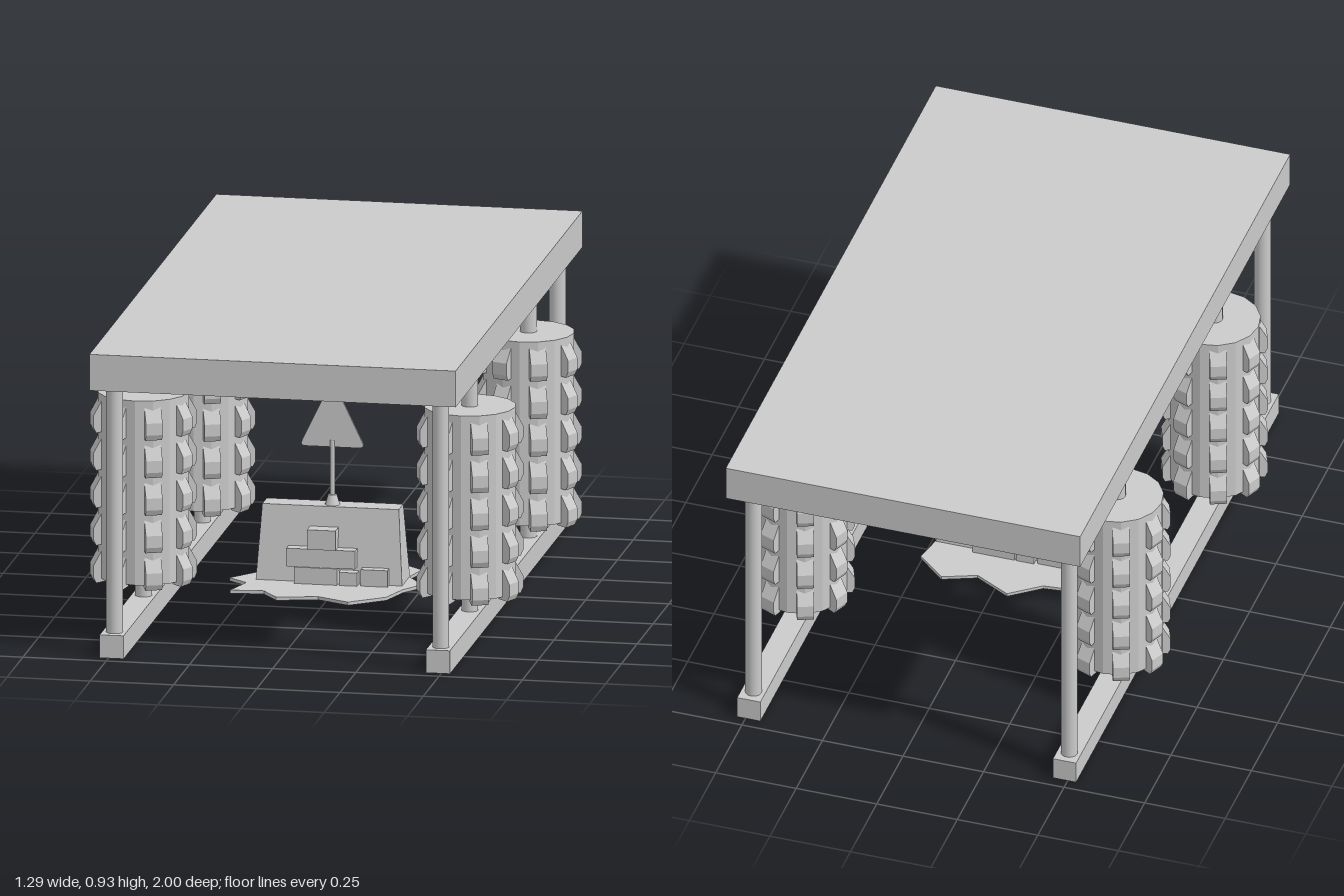
import * as THREE from 'three';
import { mergeGeometries } from 'three/addons/utils/BufferGeometryUtils.js';

const grey = new THREE.MeshStandardMaterial({ color: 0xcccccc });
const flat = new THREE.MeshStandardMaterial({ color: 0xcccccc, flatShading: true });

function add(parent, name, geometry, x, y, z, material = flat) {
  const mesh = new THREE.Mesh(geometry, material);
  mesh.name = name;
  mesh.position.set(x, y, z);
  parent.add(mesh);
  return mesh;
}

// Box given by its lower and upper limits
function block(parent, name, x0, x1, y0, y1, z0, z1) {
  return add(parent, name, new THREE.BoxGeometry(x1 - x0, y1 - y0, z1 - z0),
    (x0 + x1) / 2, (y0 + y1) / 2, (z0 + z1) / 2);
}

// Flat outline of given thickness, centred on its plane
function slab(points, depth) {
  const shape = new THREE.Shape(points.map(([x, y]) => new THREE.Vector2(x, y)));
  return new THREE.ExtrudeGeometry(shape, { depth, bevelEnabled: false }).translate(0, 0, -depth / 2);
}

// Five rings of eight hooked bristles
function bristleGeometry() {
  const fins = [];
  for (let row = 0; row < 5; row++) {
    for (let i = 0; i < 8; i++) {
      const fin = slab([[0.118, 0.0], [0.148, -0.005], [0.156, 0.012], [0.156, 0.048], [0.13, 0.095], [0.118, 0.095]], 0.05);
      fin.translate(0, 0.125 + row * 0.114, 0);
      fin.rotateY((i + 0.5) * Math.PI / 4);
      fins.push(fin);
    }
  }
  return mergeGeometries(fins);
}

// Box narrowing towards the top
function taperedBox(w, h, d, topW, topD) {
  const geometry = new THREE.BoxGeometry(w, h, d);
  const p = geometry.attributes.position;
  for (let i = 0; i < p.count; i++) {
    if (p.getY(i) > 0) p.setXYZ(i, p.getX(i) * topW / w, p.getY(i), p.getZ(i) * topD / d);
  }
  geometry.computeVertexNormals();
  return geometry;
}

function createCentrepiece() {
  const group = new THREE.Group();
  group.name = 'centrepiece';
  group.position.z = 0.055;

  // Ragged base sheet
  const outline = [[-0.3, 0.05], [-0.24, 0.1], [-0.27, 0.2], [-0.17, 0.19], [-0.12, 0.26], [0, 0.23], [0.1, 0.28],
    [0.2, 0.2], [0.23, 0.1], [0.275, 0.03], [0.22, -0.06], [0.24, -0.15], [0.15, -0.23], [0.05, -0.19],
    [-0.06, -0.25], [-0.15, -0.18], [-0.24, -0.17], [-0.22, -0.05]];
  add(group, 'baseSheet', slab(outline, 0.01).rotateX(Math.PI / 2), 0, 0.04, 0);

  // Tapered wall
  add(group, 'wall', taperedBox(0.44, 0.23, 0.125, 0.41, 0.07), 0, 0.155, -0.005);

  // Stacked boxes on both faces, mirrored at the back
  for (const s of [1, -1]) {
    const stack = new THREE.Group();
    stack.name = s > 0 ? 'frontBoxes' : 'backBoxes';
    stack.rotation.y = s > 0 ? 0 : Math.PI;
    group.add(stack);
    block(stack, 'topBox', -0.06, 0.025, 0.15, 0.21, 0.01, 0.085);
    block(stack, 'middleBox', -0.124, 0.083, 0.095, 0.15, 0.01, 0.08);
    block(stack, 'lowerBox', -0.1, 0.03, 0.045, 0.095, 0.01, 0.085);
    block(stack, 'sideBox', 0.1, 0.18, 0.045, 0.095, 0.01, 0.08);
    block(stack, 'smallBox', 0.035, 0.09, 0.045, 0.085, 0.01, 0.085);
  }

  // Sign on a thin pole
  add(group, 'signSocket', new THREE.CylinderGeometry(0.013, 0.024, 0.035, 12), 0, 0.283, 0, grey);
  add(group, 'signPole', new THREE.CylinderGeometry(0.008, 0.008, 0.2, 10), 0, 0.365, 0, grey);
  const sign = new THREE.Shape();
  sign.moveTo(-0.08, 0.445);
  sign.lineTo(0.08, 0.445);
  sign.quadraticCurveTo(0.1, 0.445, 0.09, 0.463);
  sign.lineTo(0.01, 0.63);
  sign.quadraticCurveTo(0, 0.646, -0.01, 0.63);
  sign.lineTo(-0.09, 0.463);
  sign.quadraticCurveTo(-0.1, 0.445, -0.08, 0.445);
  add(group, 'triangularSign', new THREE.ExtrudeGeometry(sign, { depth: 0.008, bevelEnabled: false, curveSegments: 6 }), 0, 0, -0.004);
  return group;
}

export function createModel() {
  const model = new THREE.Group();
  model.name = 'rollerFrame';

  block(model, 'roof', -0.55, 0.55, 0.82, 0.93, -1, 1);

  const post = new THREE.CylinderGeometry(0.025, 0.025, 0.76, 20);
  const drum = new THREE.CylinderGeometry(0.137, 0.137, 0.56, 16);
  const bristles = bristleGeometry();

  for (const side of [-1, 1]) {
    const x = side * 0.49;
    block(model, 'footRail', x - 0.036, x + 0.036, 0, 0.07, -0.965, 0.965);
    for (const end of [-1, 1]) {
      add(model, 'cornerPost', post, x, 0.445, end * 0.92, grey);
      const roller = new THREE.Group();
      roller.name = 'brushRoller';
      roller.position.set(x, 0, end * 0.462);
      add(roller, 'rollerAxle', post, 0, 0.445, 0, grey);
      add(roller, 'rollerDrum', drum, 0, 0.413, 0);
      add(roller, 'rollerBristles', bristles, 0, 0, 0);
      model.add(roller);
    }
  }

  model.add(createCentrepiece());
  return model;
}
